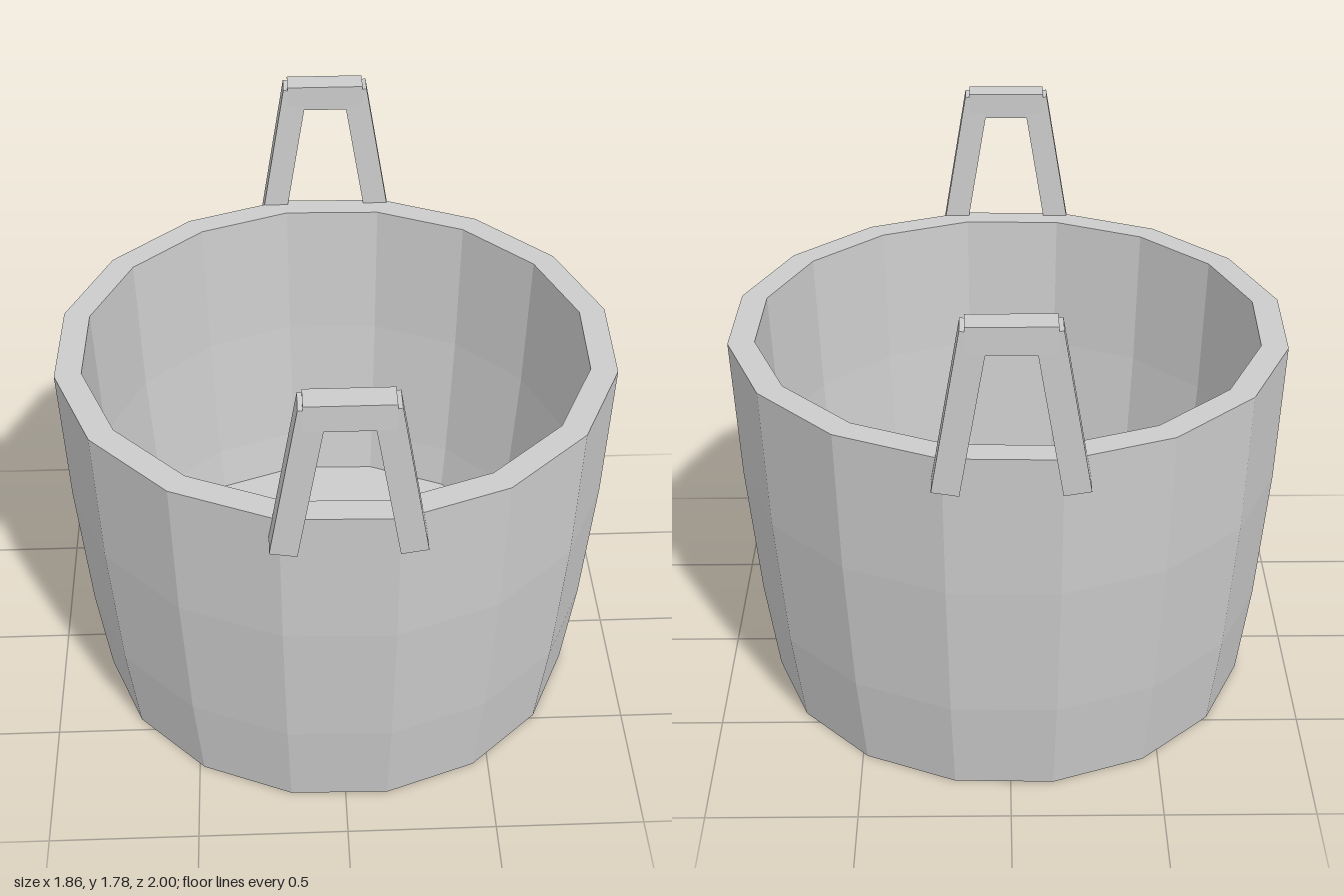
import * as THREE from 'three';

const SIDES = 16;
const TURN = THREE.MathUtils.degToRad(9.75); // angle of the first stave seam

export function createModel() {
  const model = new THREE.Group();
  model.name = 'bucket';
  const grey = new THREE.MeshStandardMaterial({ color: 0xcccccc, flatShading: true });
  grey.name = 'plain grey';

  const add = (parent, name, geometry) => {
    const mesh = new THREE.Mesh(geometry, grey);
    mesh.name = name;
    parent.add(mesh);
    return mesh;
  };

  // Bulging wall: closed profile up the outside, over the rim, down the inside
  const outer = [[0.84, 0], [0.884, 0.33], [0.924, 0.81], [0.945, 1.305]];
  const inner = outer.map(([r, y]) => [r - 0.09, y]).reverse();
  const profile = [inner[3], ...outer, ...inner].map(([r, y]) => new THREE.Vector2(r, y));
  add(model, 'wall', new THREE.LatheGeometry(profile, SIDES, TURN, Math.PI * 2));

  // Floor slab, slightly recessed from below
  const floor = add(model, 'floor', new THREE.CylinderGeometry(0.774, 0.756, 0.13, SIDES, 1, false, TURN));
  floor.position.y = 0.105;

  // Handles: two splayed legs joined by a grip, front and back
  for (const side of [1, -1]) {
    const handle = new THREE.Group();
    handle.name = side > 0 ? 'frontHandle' : 'backHandle';
    for (const s of [1, -1]) {
      const low = new THREE.Vector3(s * 0.1975, 1.22, 0.9425);
      const high = new THREE.Vector3(s * 0.107, 1.762, 0.957);
      const axis = high.clone().sub(low);
      const leg = add(handle, s > 0 ? 'leftLeg' : 'rightLeg', new THREE.BoxGeometry(0.086, axis.length(), 0.085));
      leg.position.copy(low).add(high).multiplyScalar(0.5);
      leg.quaternion.setFromUnitVectors(new THREE.Vector3(0, 1, 0), axis.normalize());
    }
    const grip = add(handle, 'grip', new THREE.BoxGeometry(0.27, 0.09, 0.087));
    grip.position.set(0, 1.735, 0.9565);
    handle.rotation.y = side > 0 ? 0 : Math.PI;
    model.add(handle);
  }

  return model;
}
